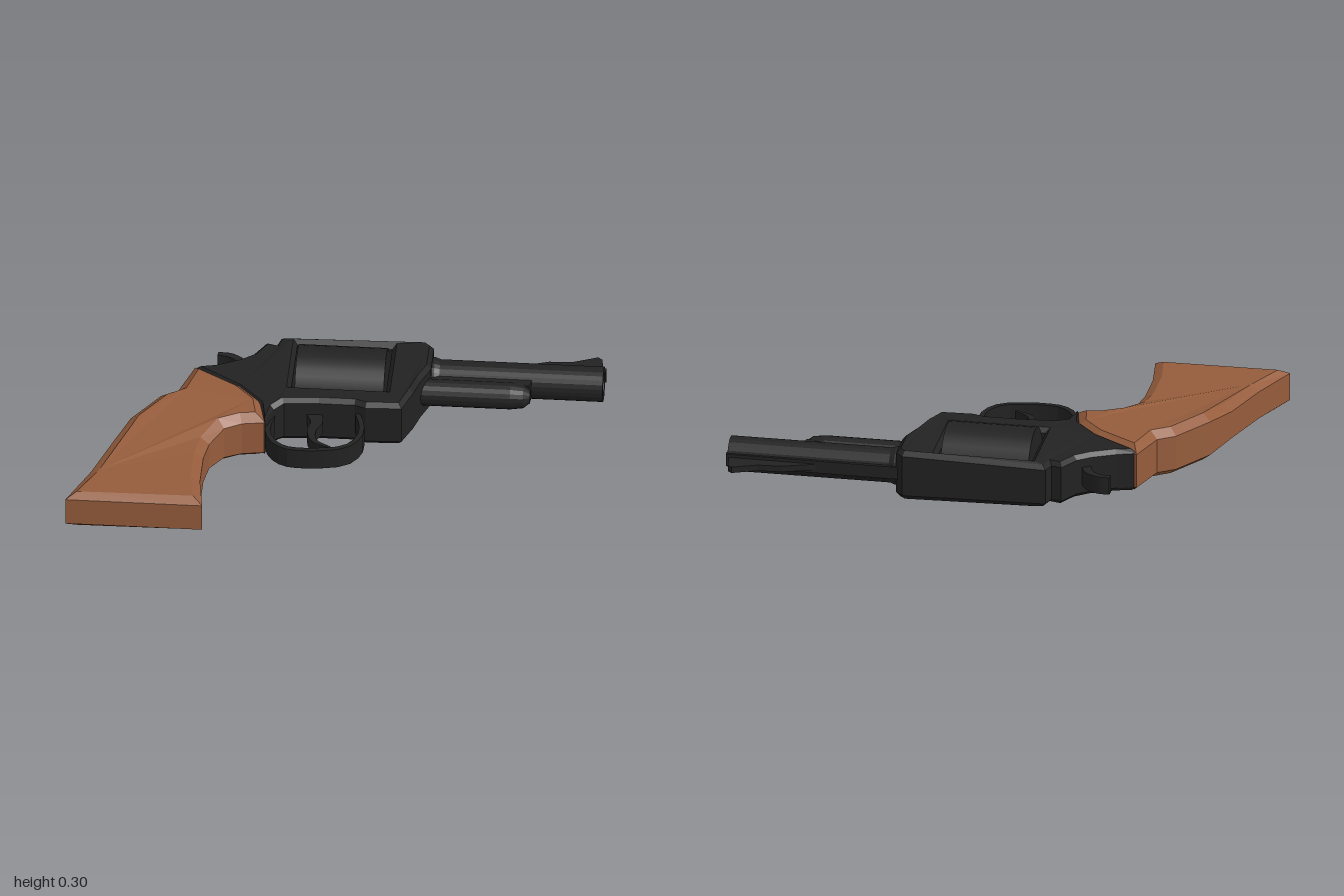
import * as THREE from 'three';

const MID = 0.153; // height of the symmetry plane

// Bevelled plate lying flat: outline points are [x, z]
function plate(points, half, bevel = 0, bevelDepth = 0, hole = null) {
  const toVec = (p) => new THREE.Vector2(p[0], -p[1]);
  const shape = new THREE.Shape(points.map(toVec));
  if (hole) shape.holes.push(new THREE.Path(hole.map(toVec)));
  const depth = 2 * (half - bevelDepth);
  const geo = new THREE.ExtrudeGeometry(shape, {
    depth, bevelEnabled: bevel > 0, bevelSize: bevel, bevelOffset: -bevel,
    bevelThickness: bevelDepth, bevelSegments: 1, curveSegments: 6,
  });
  geo.translate(0, 0, -depth / 2);
  geo.rotateX(-Math.PI / 2);
  return geo;
}

// Scales the thickness by a rule of x and z
function thicken(geo, rule) {
  const p = geo.attributes.position;
  for (let i = 0; i < p.count; i++) p.setY(i, p.getY(i) * rule(p.getX(i), p.getZ(i)));
  geo.computeVertexNormals();
  return geo;
}

// Curved strip of constant width, swept along [x, z] points
function strip(points, half, thickness, taper = 1) {
  const curve = new THREE.CatmullRomCurve3(points.map((p) => new THREE.Vector3(p[0], 0, p[1])));
  const n = 16, outer = [], inner = [];
  for (let i = 0; i <= n; i++) {
    const c = curve.getPoint(i / n), t = curve.getTangent(i / n);
    const w = (thickness / 2) * (1 + (taper - 1) * (i / n));
    outer.push([c.x - t.z * w, c.z + t.x * w]);
    inner.unshift([c.x + t.z * w, c.z - t.x * w]);
  }
  return plate([...outer, ...inner], half);
}

// Solid of revolution about the x axis; profile points are [radius, x]
function turned(profile, z, segments) {
  const pts = profile.map((p) => new THREE.Vector2(p[0], p[1]));
  const parts = new THREE.LatheGeometry(pts, segments).toNonIndexed();
  parts.rotateZ(-Math.PI / 2);
  parts.computeVertexNormals();
  parts.translate(0, 0, z);
  return parts;
}

export function createModel() {
  const group = new THREE.Group();
  const steel = new THREE.MeshStandardMaterial({ color: 0x222222 });
  steel.name = 'dark steel';
  const wood = new THREE.MeshStandardMaterial({ color: 0x955c3c });
  wood.name = 'brown wood';
  const add = (name, geo, mat = steel) => {
    const mesh = new THREE.Mesh(geo, mat);
    mesh.name = name;
    mesh.position.y = MID;
    group.add(mesh);
  };

  // Frame with the window for the drum
  const frame = plate([
    [-0.26, -0.545], [0.30, -0.54], [0.33, -0.51], [0.33, -0.37], [0.297, -0.28],
    [0.275, -0.2], [0.238, -0.096], [0.1, -0.09], [0.056, -0.107], [-0.08, -0.107],
    [-0.215, -0.096], [-0.25, -0.06], [-0.28, 0.035], [-0.31, -0.08], [-0.40, -0.185],
    [-0.575, -0.315], [-0.5, -0.34], [-0.41, -0.385], [-0.36, -0.425], [-0.315, -0.507],
    [-0.275, -0.495],
  ], 0.094, 0.017, 0.018, [[-0.195, -0.5], [-0.195, -0.2], [0.17, -0.2], [0.17, -0.5]]);
  add('frame', thicken(frame, (x) => (x > 0.25 ? 1.07 : x < -0.24 ? 0.92 : 1)));

  // Drum
  const drum = new THREE.CylinderGeometry(0.152, 0.152, 0.343, 32);
  drum.rotateZ(Math.PI / 2);
  drum.translate(-0.0115, 0, -0.35);
  add('drum', drum);

  // Barrel with a bore, top rib, rod housing and front sight
  add('barrel', turned([[0, 0.3], [0.075, 0.3], [0.075, 0.34], [0.068, 0.36], [0.068, 0.99],
    [0.042, 0.99], [0.038, 0.85], [0, 0.85]], -0.44, 24));
  add('barrelRib', plate([[0.3, -0.518], [0.995, -0.512], [0.995, -0.49], [0.3, -0.49]], 0.025));
  add('rodHousing', turned([[0, 0.27], [0.052, 0.27], [0.052, 0.64], [0.045, 0.69],
    [0.025, 0.715], [0, 0.715]], -0.332, 18));
  add('rodBridge', plate([[0.27, -0.4], [0.72, -0.4], [0.71, -0.345], [0.27, -0.345]], 0.04));
  add('frontSight', plate([[0.62, -0.505], [0.66, -0.522], [0.77, -0.56], [0.86, -0.565],
    [0.955, -0.605], [0.972, -0.59], [0.985, -0.505]], 0.012));

  // Hammer, trigger and guard
  add('hammer', strip([[-0.5, -0.478], [-0.455, -0.473], [-0.41, -0.44], [-0.385, -0.37]], 0.035, 0.022, 1.7));
  add('trigger', strip([[-0.1, -0.12], [-0.085, -0.06], [-0.1, 0.0], [-0.085, 0.07], [-0.02, 0.112]], 0.025, 0.06, 0.15));
  add('triggerGuard', strip([[-0.255, -0.06], [-0.268, 0.03], [-0.245, 0.1], [-0.2, 0.145],
    [-0.14, 0.158], [-0.05, 0.152], [0.04, 0.125], [0.085, 0.06], [0.092, -0.02], [0.07, -0.1]], 0.041, 0.02));

  // Grip, thicker near the frame
  const grip = plate([
    [-0.575, -0.325], [-0.385, -0.205], [-0.3, -0.107], [-0.275, 0.03], [-0.365, 0.045],
    [-0.43, 0.08], [-0.48, 0.176], [-0.495, 0.27], [-0.495, 0.43], [-0.473, 0.598],
    [-1, 0.598], [-0.917, 0.4], [-0.85, 0.19], [-0.793, 0.043], [-0.69, -0.12], [-0.625, -0.165],
  ], 0.097, 0.036, 0.028);
  add('grip', thicken(grip, (x, z) =>
    THREE.MathUtils.lerp(1, 0.8, THREE.MathUtils.clamp((z - 0.06) / 0.12, 0, 1))), wood);

  return group;
}
